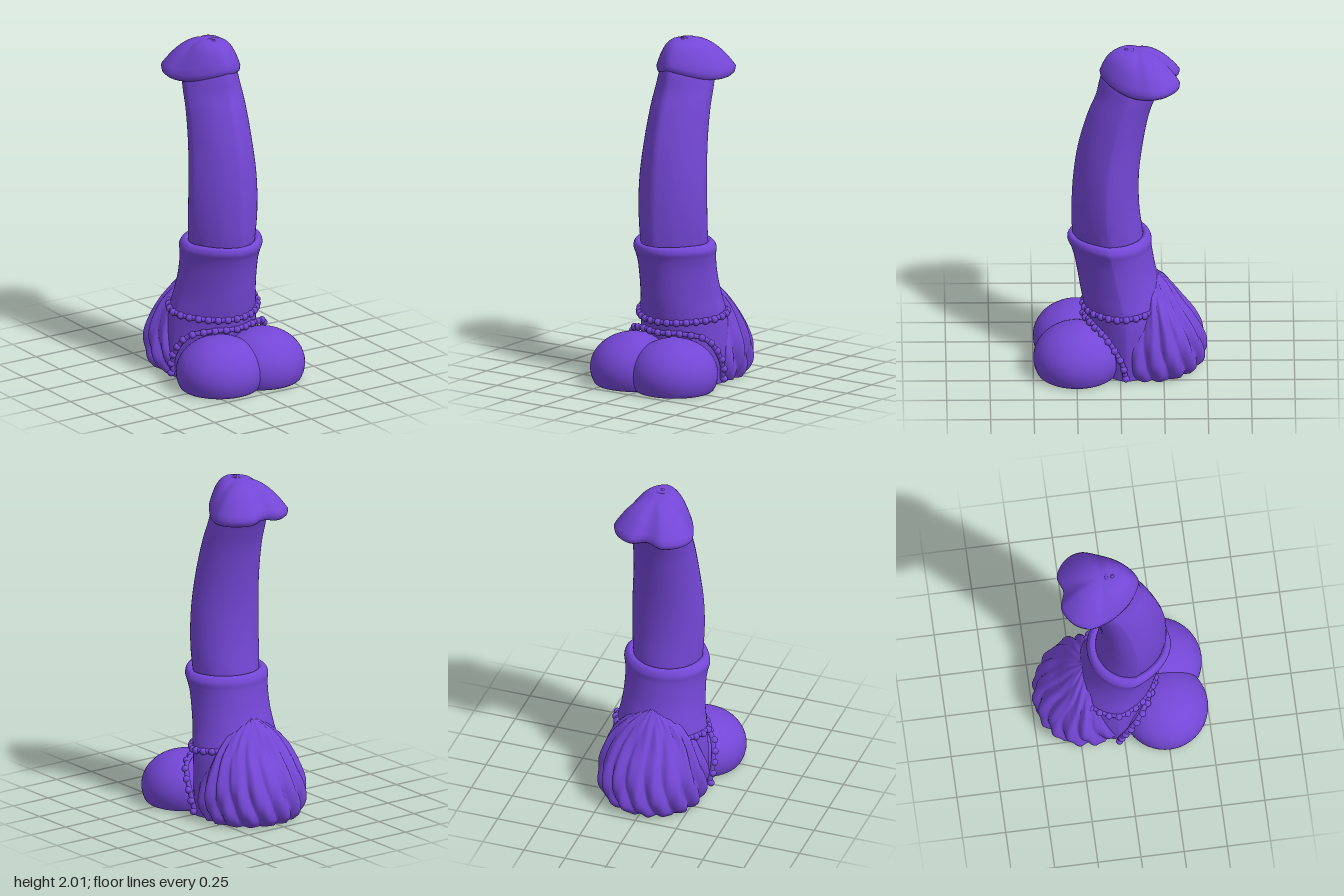
import * as THREE from 'three';

const V = (x, y, z) => new THREE.Vector3(x, y, z);

// Skin a stack of closed rings, lowest first, with an optional flat base
function loft(rings, base = false) {
  const n = rings[0].length, pos = [], idx = [];
  rings.forEach(r => r.forEach(p => pos.push(p.x, p.y, p.z)));
  for (let i = 0; i < rings.length - 1; i++) {
    for (let j = 0; j < n; j++) {
      const k = (j + 1) % n, a = i * n + j, b = i * n + k;
      idx.push(a, b, a + n, b, b + n, a + n);
    }
  }
  if (base) {
    const s = pos.length / 3, c = V(0, 0, 0);
    rings[0].forEach(p => { pos.push(p.x, p.y, p.z); c.addScaledVector(p, 1 / n); });
    pos.push(c.x, c.y, c.z);
    for (let j = 0; j < n; j++) idx.push(s + n, s + (j + 1) % n, s + j);
  }
  const g = new THREE.BufferGeometry();
  g.setAttribute('position', new THREE.Float32BufferAttribute(pos, 3));
  g.setIndex(idx);
  g.computeVertexNormals();
  return g;
}

// Smoothly interpolate rows of [y, front z, back z, half width]
function smoothRows(rows, count) {
  const a = new THREE.CatmullRomCurve3(rows.map(r => V(r[0], r[1], r[2])));
  const b = new THREE.CatmullRomCurve3(rows.map(r => V(r[0], r[3], 0)));
  return Array.from({ length: count + 1 }, (_, i) => {
    const p = a.getPoint(i / count), q = b.getPoint(i / count);
    return [p.x, p.y, p.z, q.y];
  });
}

// Point on a section whose front is drawn to a soft point
function sectionPoint([y, zf, zb, w], a, power) {
  const c = Math.cos(a), mid = (zf + zb) / 2, d = (zf - zb) / 2;
  return V(w * Math.sin(a), y, mid + d * (c > 0 ? Math.pow(c, power) : c));
}

function ring(row, segs, power, rule) {
  return Array.from({ length: segs }, (_, j) => {
    const a = j / segs * Math.PI * 2, p = sectionPoint(row, a, power);
    if (rule) rule(p, a);
    return p;
  });
}

export function createModel() {
  const group = new THREE.Group();
  const purple = new THREE.MeshStandardMaterial({ color: 0x7447d6 });
  purple.name = 'purple';
  const add = (name, geometry, parent = group) => {
    const m = new THREE.Mesh(geometry, purple);
    m.name = name;
    parent.add(m);
    return m;
  };

  // Curved column with a raised strip down the front
  const columnRows = [
    [0.70, 0.235, -0.14, 0.19], [0.83, 0.262, -0.13, 0.205], [1.0, 0.267, -0.11, 0.215],
    [1.2, 0.257, -0.108, 0.212], [1.4, 0.228, -0.13, 0.197], [1.6, 0.172, -0.168, 0.185],
    [1.72, 0.125, -0.21, 0.177], [1.8, 0.108, -0.24, 0.165], [1.87, 0.09, -0.2, 0.13]];
  add('column', loft(smoothRows(columnRows, 48).map(r => ring(r, 64, 1.6, (p, a) => {
    if (Math.cos(a) > 0) p.z += 0.012 * Math.exp(-Math.pow(p.x / 0.035, 2));
    // Small folds where the column leaves the collar
    const fold = 0.012 * Math.max(0, 1 - Math.abs(p.y - 0.82) / 0.1) * Math.sin(a * 12);
    p.x *= 1 + fold;
  }))));

  // Heart shaped cap: domed above, tucked in below
  const half = [[0.08, 1.85, 0.083], [0.16, 1.825, 0.0], [0.212, 1.81, -0.1],
    [0.235, 1.815, -0.19], [0.2, 1.82, -0.28], [0.1, 1.825, -0.343]];
  const outline = new THREE.CatmullRomCurve3([
    V(0, 1.865, 0.118), ...half.map(p => V(...p)), V(0, 1.835, -0.318),
    ...half.slice().reverse().map(p => V(-p[0], p[1], p[2]))], true).getPoints(96).slice(0, 96);
  const top = V(0, 1.998, -0.09);
  const capRing = (s, drop) => outline.map(p => {
    const front = THREE.MathUtils.smoothstep(p.z, -0.15, 0.1);
    const e = 2.2 + 2.4 * front;
    const y = drop === null ? top.y - (top.y - p.y) * Math.pow(s, e) : p.y - drop;
    return V(p.x * s, y, top.z + (p.z - top.z) * s);
  });
  const capRings = [[0.45, -0.01], [0.65, 0.01], [0.82, 0.033], [0.92, 0.04], [0.98, 0.027]]
    .map(([s, d]) => capRing(s, d));
  for (let i = 0; i <= 16; i++) capRings.push(capRing(Math.max(1 - i / 16, 0.001), null));
  add('cap', loft(capRings));

  // Small ring and stud on the cap
  const tipRing = add('tipRing', new THREE.TorusGeometry(0.03, 0.011, 10, 28));
  tipRing.rotation.x = -Math.PI / 2 + 0.12;
  tipRing.position.set(0, 1.987, -0.04);
  add('tipStud', new THREE.SphereGeometry(0.011, 12, 8)).position.set(0, 1.994, -0.035);

  // Collar with a rolled rim, widening into the lower body
  const collarRows = [
    [0, 0.17, -0.22, 0.27], [0.15, 0.18, -0.25, 0.28], [0.34, 0.2, -0.265, 0.275],
    [0.42, 0.217, -0.255, 0.265], [0.5, 0.232, -0.235, 0.25], [0.6, 0.248, -0.205, 0.241],
    [0.7, 0.268, -0.187, 0.24], [0.755, 0.285, -0.18, 0.247], [0.795, 0.303, -0.18, 0.254],
    [0.825, 0.298, -0.165, 0.238], [0.832, 0.278, -0.145, 0.215], [0.81, 0.25, -0.12, 0.19]];
  const collar = smoothRows(collarRows, 66);
  add('collar', loft(collar.map(r => ring(r, 72, 1.6)), true));

  // Pair of rounded lobes with flat undersides
  for (const side of [-1, 1]) {
    const g = new THREE.SphereGeometry(1, 48, 36);
    const p = g.attributes.position;
    for (let i = 0; i < p.count; i++) {
      p.setXYZ(i, side * 0.14 + p.getX(i) * 0.255,
        Math.max(0, 0.095 + p.getY(i) * 0.207), 0.25 + p.getZ(i) * 0.25);
    }
    g.computeVertexNormals();
    add(side > 0 ? 'leftLobe' : 'rightLobe', g);
  }

  // Swept tuft at the back, ridged into strands that gather at the top
  const tuftRows = [
    [0, 0.08, -0.44, 0.27], [0.04, 0.1, -0.475, 0.295], [0.1, 0.1, -0.488, 0.31],
    [0.2, 0.07, -0.472, 0.308], [0.3, 0.02, -0.425, 0.28], [0.4, -0.04, -0.352, 0.235],
    [0.5, -0.09, -0.283, 0.15], [0.57, -0.13, -0.222, 0.05], [0.6, -0.15, -0.195, 0.01]];
  add('tuft', loft(smoothRows(tuftRows, 40).map(r => ring(r, 192, 1, (p, a) => {
    const mid = (r[1] + r[2]) / 2;
    const sweep = 2.5 * Math.sin(r[0] * 5);
    const k = 1 + 0.1 * (Math.abs(Math.sin(8 * a + sweep)) - 0.68) + 0.018 * Math.sin(23 * a - sweep);
    p.x *= k;
    p.z = Math.max(-0.5, mid + (p.z - mid) * k);
  })), true));

  // Beaded bands: a smooth strap with evenly spaced beads
  const bandAt = (name, curve, closed, beads) => {
    const band = new THREE.Group();
    band.name = name;
    group.add(band);
    add(name + 'Strap', new THREE.TubeGeometry(curve, 96, 0.015, 8, closed), band);
    const bead = new THREE.SphereGeometry(0.021, 14, 10);
    for (let i = 0; i < beads; i++) {
      const q = curve.getPointAt(closed ? i / beads : i / (beads - 1));
      const out = V(q.x, 0, q.z).normalize().multiplyScalar(0.008);
      add(name + 'Bead', bead, band).position.copy(q).add(out);
    }
  };
  const rowAt = y => collar.reduce((b, r) => Math.abs(r[0] - y) < Math.abs(b[0] - y) ? r : b);
  const loop = Array.from({ length: 32 }, (_, i) => {
    const a = i / 32 * Math.PI * 2, y = 0.395 - 0.022 * Math.cos(a);
    const p = sectionPoint(rowAt(y), a, 1.6);
    p.y = y;
    return p;
  });
  bandAt('upperBand', new THREE.CatmullRomCurve3(loop, true), true, 28);

  const sidePath = [[0.285, 0.03, -0.03], [0.295, 0.12, -0.01], [0.288, 0.2, 0.03],
    [0.25, 0.28, 0.09], [0.13, 0.31, 0.165]];
  bandAt('lowerBand', new THREE.CatmullRomCurve3([
    ...sidePath.map(p => V(...p)), V(0, 0.31, 0.205),
    ...sidePath.slice().reverse().map(p => V(-p[0], p[1], p[2]))]), false, 19);

  return group;
}
